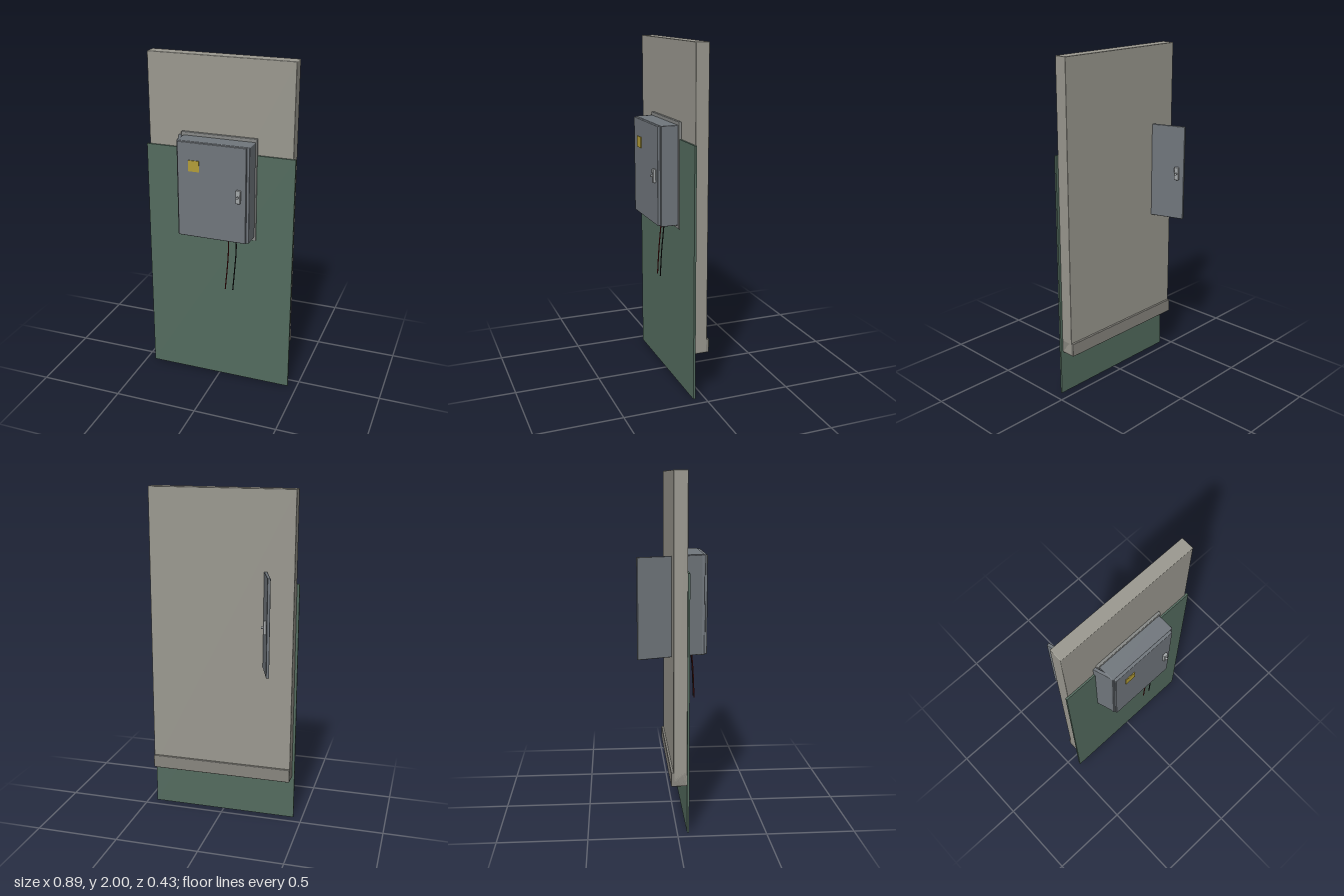
import * as THREE from 'three';
import { RoundedBoxGeometry } from 'three/addons/geometries/RoundedBoxGeometry.js';

const paint = (color) => new THREE.MeshStandardMaterial({ color });
const wallGrey = paint(0x9a988f);
const baseGrey = paint(0x87857e);
const green = paint(0x536b5e);
const steel = paint(0x70767c);
const flangeGrey = paint(0x868886);
const metal = paint(0xa3a7a9);
const yellow = paint(0xb39d38);
const red = paint(0x6b1a1a);
const black = paint(0x1c1c1c);

// Box given by its minimum and maximum corners, with an optional softened edge
function block(name, material, min, max, radius = 0) {
  const [w, h, d] = max.map((v, i) => v - min[i]);
  const geometry = radius
    ? new RoundedBoxGeometry(w, h, d, 2, radius)
    : new THREE.BoxGeometry(w, h, d);
  const mesh = new THREE.Mesh(geometry, material);
  mesh.name = name;
  mesh.position.set(...max.map((v, i) => (v + min[i]) / 2));
  return mesh;
}

// Cabinet door with label and latch; the hinge edge is the group's origin
function createDoor(name) {
  const door = new THREE.Group();
  door.name = name;
  door.add(block('doorPanel', steel, [0, 0.975, -0.009], [0.407, 1.54, 0.009], 0.004));
  door.add(block('warningLabel', yellow, [0.067, 1.373, 0.008], [0.132, 1.437, 0.014]));
  door.add(block('latchPlate', metal, [0.352, 1.218, 0.008], [0.379, 1.297, 0.025], 0.004));

  const knob = new THREE.Mesh(new THREE.CylinderGeometry(0.007, 0.007, 0.012, 16), metal);
  knob.name = 'latchKnob';
  knob.rotation.x = Math.PI / 2;
  knob.position.set(0.365, 1.258, 0.03);
  door.add(knob);
  return door;
}

// Hanging cable along a smooth path
function cable(name, material, points) {
  const path = new THREE.CatmullRomCurve3(points.map((p) => new THREE.Vector3(...p)));
  const mesh = new THREE.Mesh(new THREE.TubeGeometry(path, 24, 0.0035, 8), material);
  mesh.name = name;
  return mesh;
}

export function createModel() {
  const model = new THREE.Group();
  model.name = 'wallCabinet';

  // Wall slab, its rear skirting and the front cladding sheet
  model.add(block('wallSlab', wallGrey, [-0.432, 0.275, -0.02], [0.43, 2, 0.057], 0.004));
  model.add(block('baseLedge', baseGrey, [-0.432, 0.27, -0.033], [0.43, 0.35, 0.055], 0.004));
  model.add(block('frontSheet', green, [-0.447, 0, 0.055], [0.445, 1.465, 0.067]));

  // Cabinet body on its mounting flange
  model.add(block('mountingFlange', flangeGrey, [-0.23, 0.95, 0.055], [0.225, 1.562, 0.072], 0.004));
  model.add(block('cabinetBody', steel, [-0.217, 0.972, 0.066], [0.215, 1.542, 0.172], 0.004));

  // Closed door, and a second one swung back through the wall on the same hinge
  const closedDoor = createDoor('closedDoor');
  closedDoor.position.set(-0.207, 0, 0.179);
  const swungDoor = createDoor('swungDoor');
  swungDoor.position.set(-0.202, 0, 0.175);
  swungDoor.rotation.y = THREE.MathUtils.degToRad(108);
  model.add(closedDoor, swungDoor);

  // Two cables leaving the underside of the cabinet
  model.add(cable('redCable', red, [
    [0.075, 1.0, 0.118], [0.079, 0.9, 0.13], [0.076, 0.8, 0.138], [0.064, 0.645, 0.143],
  ]));
  model.add(cable('blackCable', black, [
    [0.12, 1.0, 0.118], [0.126, 0.9, 0.13], [0.122, 0.8, 0.138], [0.111, 0.645, 0.143],
  ]));

  return model;
}
